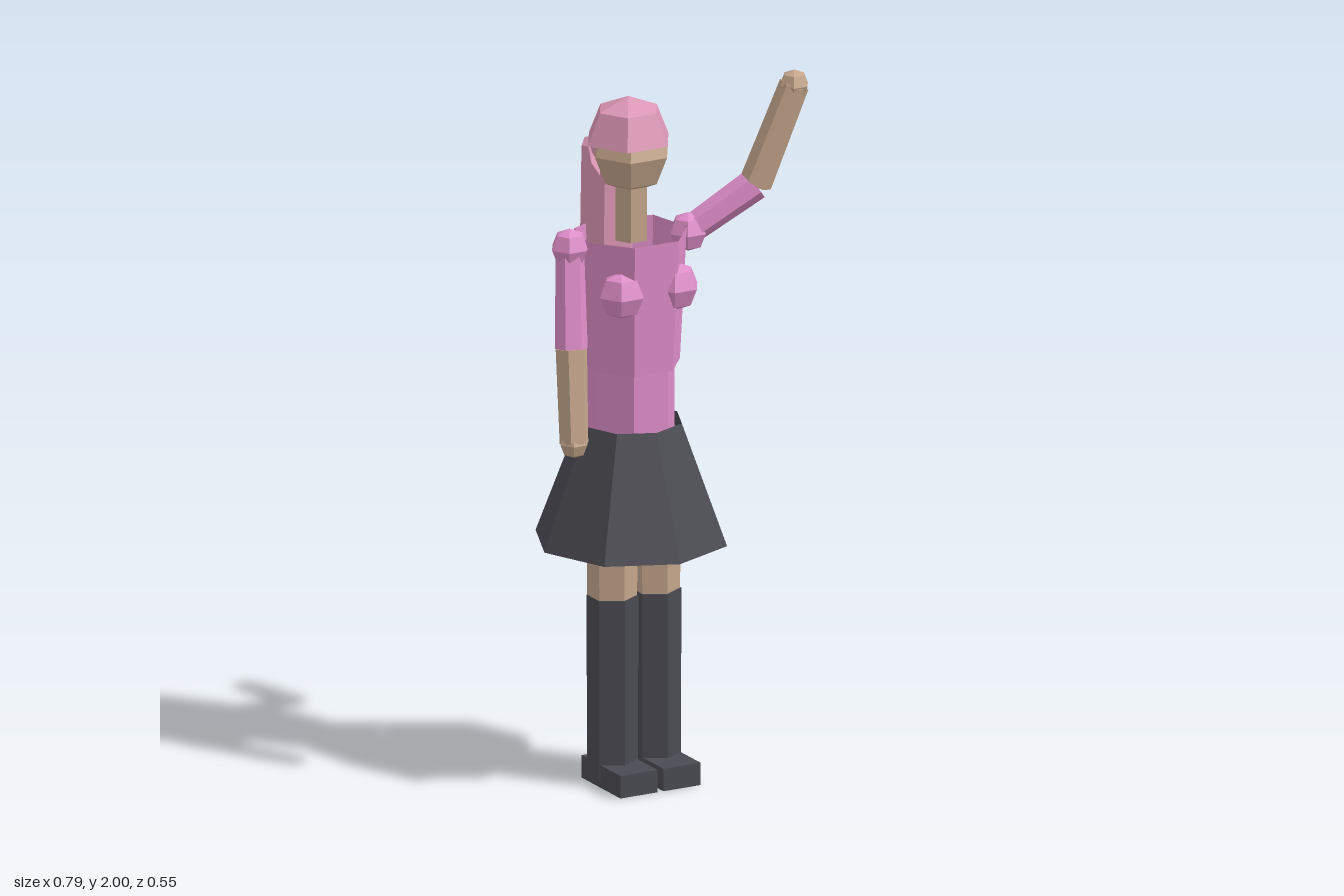
import * as THREE from 'three';

const mat = (name, color, side = THREE.DoubleSide) => {
  const m = new THREE.MeshStandardMaterial({ color, flatShading: true, side });
  m.name = name;
  return m;
};

export function createModel() {
  const shirt = mat('shirt pink', 0xde8dc8);
  const hair = mat('hair rose', 0xdc96b6);
  const skin = mat('skin tan', 0xc4a58b);
  const dark = mat('charcoal', 0x4a4a52);

  const model = new THREE.Group();
  model.name = 'wavingFigure';
  const X = -0.12; // body axis

  const add = (name, geo, material, x, y, z, parent = model) => {
    const mesh = new THREE.Mesh(geo, material);
    mesh.name = name;
    mesh.position.set(x, y, z);
    parent.add(mesh);
    return mesh;
  };

  // Upright prism between two heights; start turns its first corner away from +z
  const prism = (name, rTop, rBottom, y0, y1, sides, material, { x = X, z = 0, open = true, start = 0 } = {}) =>
    add(name, new THREE.CylinderGeometry(rTop, rBottom, y1 - y0, sides, 1, open, start),
      material, x, (y0 + y1) / 2, z);

  // Prism joining two points
  const link = (name, a, b, rA, rB, material, { flat = 1, open = false, start = 0, parent = model } = {}) => {
    const from = new THREE.Vector3(...a), to = new THREE.Vector3(...b);
    const dir = to.clone().sub(from);
    const geo = new THREE.CylinderGeometry(rB, rA, dir.length(), 6, 1, open, start).scale(1, 1, flat);
    const mid = from.add(to).multiplyScalar(0.5);
    const mesh = add(name, geo, material, mid.x, mid.y, mid.z, parent);
    mesh.quaternion.setFromUnitVectors(new THREE.Vector3(0, 1, 0), dir.normalize());
    return mesh;
  };

  const ball = (name, r, material, [x, y, z], parent = model) =>
    add(name, new THREE.SphereGeometry(r, 6, 4), material, x, y, z, parent);

  // Torso, waist and skirt: open tubes
  prism('torso', 0.16, 0.14, 1.2, 1.58, 7, shirt, { start: Math.PI });
  prism('waist', 0.124, 0.124, 1.0, 1.2, 7, shirt, { start: Math.PI });
  prism('skirt', 0.145, 0.275, 0.69, 1.035, 8, dark);

  // Legs, boots and feet
  for (const side of [-1, 1]) {
    const x = X + side * 0.068, pre = side < 0 ? 'right' : 'left';
    prism(pre + 'Thigh', 0.074, 0.069, 0.54, 1.0, 6, skin, { x, z: 0.013 });
    prism(pre + 'Boot', 0.072, 0.07, 0.02, 0.54, 6, dark, { x, z: 0.015, open: false });
    add(pre + 'Foot', new THREE.BoxGeometry(0.117, 0.065, 0.22), dark, x, 0.0325, 0.055);
    ball(pre + 'Breast', 0.069, shirt, [X + side * 0.085, 1.435, 0.098]);
  }

  // Arms: shoulder, sleeve, forearm, hand
  const arm = (name, shoulder, elbow, hand) => {
    const g = new THREE.Group();
    g.name = name;
    model.add(g);
    ball('shoulder', 0.056, shirt, shoulder, g);
    link('sleeve', shoulder, elbow, 0.04, 0.046, shirt, { parent: g });
    link('forearm', elbow, hand, 0.046, 0.042, skin, { parent: g });
    ball('hand', 0.043, skin, hand, g);
  };
  arm('rightArm', [-0.313, 1.56, -0.003], [-0.335, 1.285, 0.045], [-0.35, 1.025, 0.087]);
  arm('leftArm', [0.062, 1.55, -0.003], [0.243, 1.675, 0.052], [0.347, 1.957, 0.087]);

  // Neck and head
  prism('neck', 0.05, 0.05, 1.56, 1.75, 6, skin, { start: Math.PI / 2 });
  ball('head', 0.115, skin, [X, 1.81, 0]);

  // Hair: dome, lower back of the head, and long hanging tail
  add('hairDome', new THREE.SphereGeometry(0.127, 6, 2, 0, Math.PI * 2, 0, Math.PI / 2),
    hair, X, 1.84, -0.017);
  add('hairBack', new THREE.SphereGeometry(0.127, 3, 1, Math.PI, Math.PI, Math.PI / 2, Math.PI / 4),
    hair, X, 1.84, -0.017);
  link('hairTail', [X, 1.17, -0.15], [X, 1.805, -0.13], 0.085, 0.085, hair,
    { flat: 0.8, open: true, start: Math.PI / 2 });

  return model;
}
